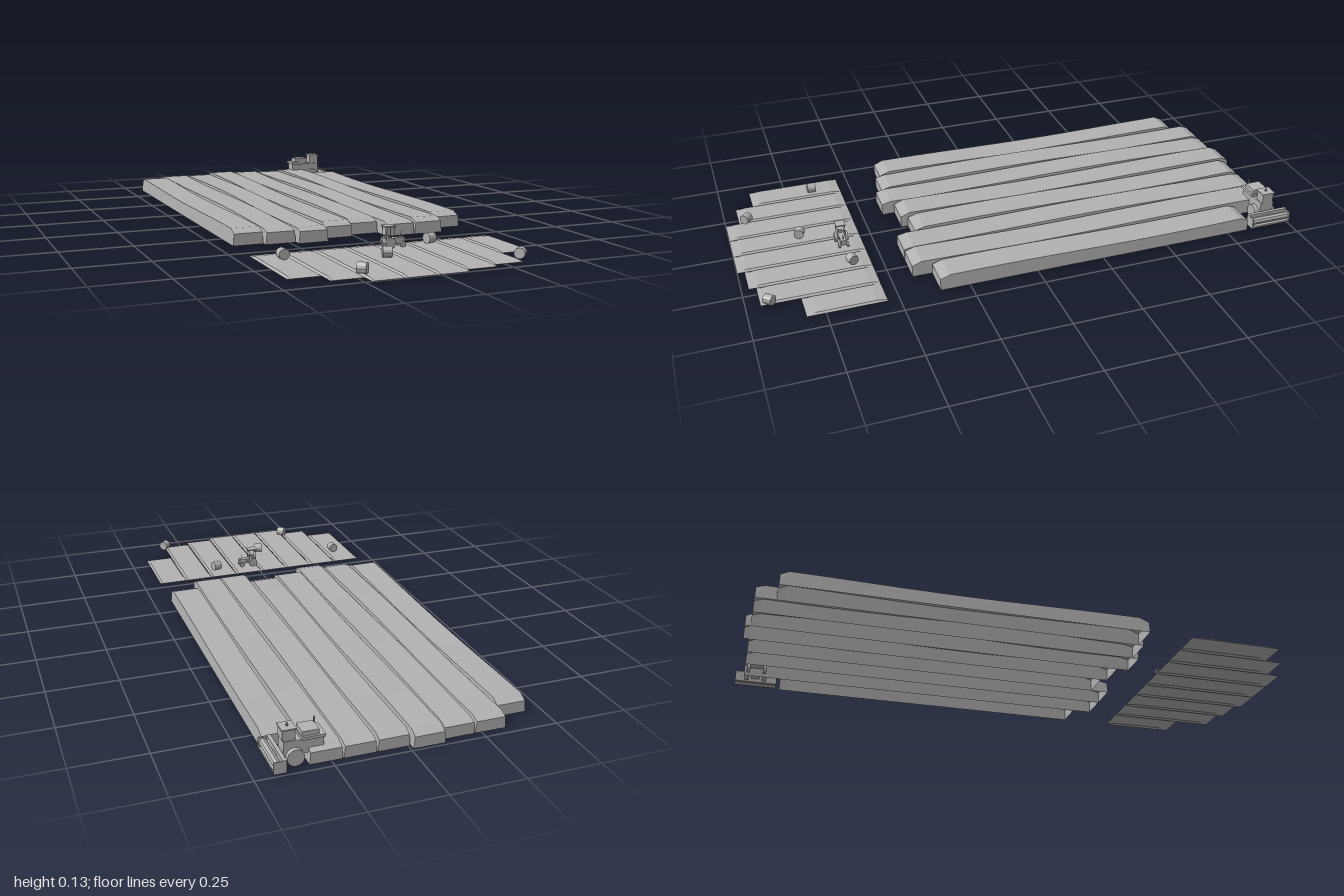
import * as THREE from 'three';

const grey = new THREE.MeshStandardMaterial({ color: 0xb2b2b2, flatShading: true, side: THREE.DoubleSide });
grey.name = 'plainGrey';

function add(parent, name, geometry, x = 0, y = 0, z = 0) {
  const mesh = new THREE.Mesh(geometry, grey);
  mesh.name = name;
  mesh.position.set(x, y, z);
  parent.add(mesh);
  return mesh;
}

// box given by its extents
function block(parent, name, x0, x1, y0, y1, z0, z1) {
  return add(parent, name, new THREE.BoxGeometry(x1 - x0, y1 - y0, z1 - z0),
    (x0 + x1) / 2, (y0 + y1) / 2, (z0 + z1) / 2);
}

// wheel or round bale with its axis along z
function drum(parent, name, r, width, x, y, z, sides = 14) {
  return add(parent, name, new THREE.CylinderGeometry(r, r, width, sides).rotateX(Math.PI / 2), x, y, z);
}

// open-bottomed strip lofted from trapezoid sections; stations are [z, height]
function strip(stations, halfBottom, halfTop) {
  const rings = stations.map(([z, h]) =>
    [[-halfBottom, 0, z], [-halfTop, h, z], [halfTop, h, z], [halfBottom, 0, z]]);
  const pos = [];
  const quad = (a, b, c, d) => pos.push(...a, ...b, ...c, ...a, ...c, ...d);
  for (let j = 0; j < rings.length - 1; j++) {
    for (let k = 0; k < 3; k++) quad(rings[j][k], rings[j + 1][k], rings[j + 1][k + 1], rings[j][k + 1]);
  }
  quad(...rings[0]);
  quad(...rings[rings.length - 1].slice().reverse());
  const g = new THREE.BufferGeometry();
  g.setAttribute('position', new THREE.Float32BufferAttribute(pos, 3));
  g.computeVertexNormals();
  return g;
}

function createFields(model) {
  // back end, front end of the crop, front end of the cut ground
  const rows = [
    [-0.90, 0.38, 0.885], [-0.97, 0.40, 0.95], [-0.97, 0.425, 1.0], [-0.99, 0.38, 1.0],
    [-0.97, 0.355, 1.0], [-0.97, 0.425, 0.975], [-0.97, 0.425, 0.95], [-0.83, 0.355, 0.815],
  ];
  rows.forEach(([back, front, cutFront], i) => {
    const x = -0.391 + i * 0.1095;
    // gently rolling crop top with bevelled ends
    const stations = [[back, 0.04]];
    const a = back + 0.03, b = front - 0.035, n = 12;
    for (let j = 0; j <= n; j++) {
      const z = a + (b - a) * j / n;
      stations.push([z, 0.0515 + 0.0035 * Math.sin(z * 5 + i * 1.9)]);
    }
    stations.push([front, 0.041]);
    add(model, 'cropStrip', strip(stations, 0.0535, 0.05), x);
    // flat harvested ground
    add(model, 'stubbleStrip',
      strip([[0.54, 0.001], [0.575, 0.006], [cutFront - 0.035, 0.006], [cutFront, 0.001]], 0.0545, 0.047), x);
  });
}

function createBales(model) {
  const bales = [[-0.37, 0.65, 0], [-0.222, 0.922, 0.85], [-0.057, 0.752, 1.25],
    [0.173, 0.606, 1.85], [0.325, 0.92, -0.75]];
  for (const [x, z, turn] of bales) {
    drum(model, 'hayBale', 0.018, 0.031, x, 0.024, z, 12).rotation.y = turn;
  }
}

function createTractor(model) {
  const t = new THREE.Group();
  t.name = 'tractor';
  t.position.set(0, 0, 0.613);
  block(t, 'tractorBody', 0, 0.04, 0.02, 0.037, -0.011, 0.011);
  block(t, 'hood', 0.035, 0.071, 0.018, 0.037, -0.01, 0.01);
  block(t, 'seat', 0.004, 0.014, 0.037, 0.047, -0.006, 0.006);
  block(t, 'canopy', -0.004, 0.034, 0.075, 0.079, -0.018, 0.018);
  add(t, 'exhaust', new THREE.CylinderGeometry(0.0015, 0.0015, 0.02, 6), 0.061, 0.046, 0);
  for (const s of [-1, 1]) {
    drum(t, 'rearWheel', 0.018, 0.01, 0.015, 0.023, s * 0.019);
    drum(t, 'frontWheel', 0.01, 0.007, 0.062, 0.015, s * 0.015);
    for (const x of [0, 0.03]) block(t, 'canopyPost', x - 0.001, x + 0.001, 0.036, 0.076, s * 0.014 - 0.001, s * 0.014 + 0.001);
  }
  model.add(t);
}

function createHarvester(model) {
  const h = new THREE.Group();
  h.name = 'harvester';
  h.position.z = -0.925;
  block(h, 'harvesterBody', 0.268, 0.394, 0.032, 0.08, -0.026, 0.026);
  block(h, 'tankRim', 0.264, 0.34, 0.08, 0.09, -0.035, 0.035);
  block(h, 'grainTank', 0.282, 0.337, 0.09, 0.106, -0.028, 0.028);
  block(h, 'cab', 0.355, 0.396, 0.08, 0.115, -0.021, 0.021);
  block(h, 'cabRoof', 0.352, 0.399, 0.115, 0.12, -0.025, 0.025);
  add(h, 'beacon', new THREE.CylinderGeometry(0.004, 0.004, 0.008, 8), 0.375, 0.124, 0);
  add(h, 'exhaust', new THREE.CylinderGeometry(0.003, 0.003, 0.034, 8), 0.283, 0.107, 0.018);
  // feeder and cutting header
  const feeder = add(h, 'feeder', new THREE.BoxGeometry(0.045, 0.018, 0.03), 0.395, 0.034, 0);
  feeder.rotation.z = -0.3;
  block(h, 'headerBack', 0.4, 0.412, 0.01, 0.05, -0.075, 0.082);
  block(h, 'headerTray', 0.41, 0.438, 0.008, 0.015, -0.075, 0.082);
  drum(h, 'headerReel', 0.013, 0.15, 0.425, 0.03, 0.0035, 8);
  for (const z of [-0.073, 0.08]) block(h, 'headerSide', 0.4, 0.441, 0.008, 0.048, z - 0.002, z + 0.002);
  for (const s of [-1, 1]) {
    drum(h, 'frontWheel', 0.028, 0.016, 0.36, 0.029, s * 0.033);
    drum(h, 'rearWheel', 0.018, 0.012, 0.288, 0.019, s * 0.03);
  }
  model.add(h);
}

export function createModel() {
  const model = new THREE.Group();
  model.name = 'harvestField';
  createFields(model);
  createBales(model);
  createTractor(model);
  createHarvester(model);
  return model;
}
